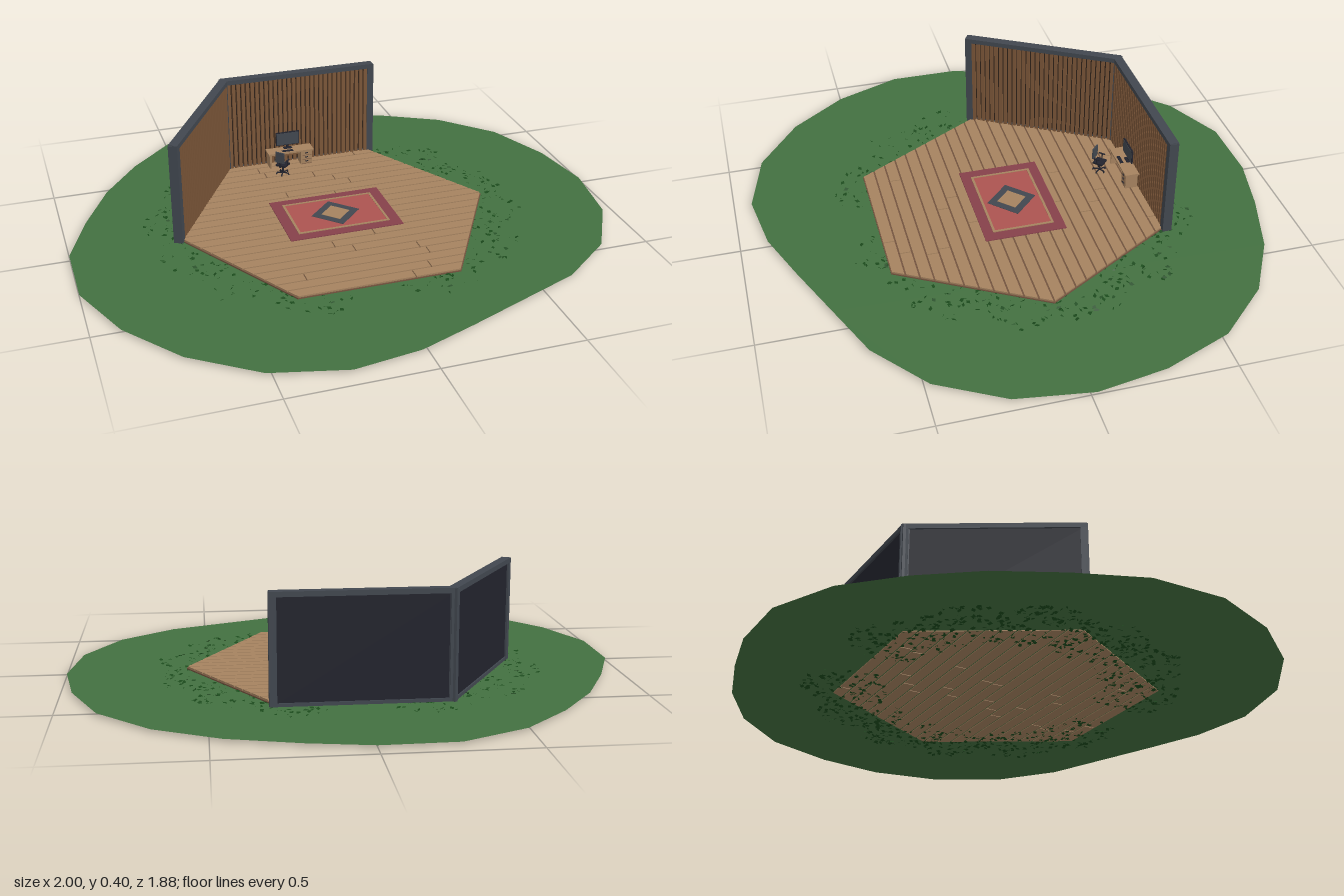
import * as THREE from 'three';
import { mergeGeometries } from 'three/addons/utils/BufferGeometryUtils.js';

const mat = (name, color, side = THREE.FrontSide) => {
  const m = new THREE.MeshStandardMaterial({ color, side });
  m.name = name;
  return m;
};

// Flat slab from [x, z] outline points, between heights y0 and y1
function slab(points, y0, y1, holePoints) {
  const v = (p) => new THREE.Vector2(p[0], -p[1]);
  const shape = new THREE.Shape(points.map(v));
  if (holePoints) shape.holes.push(new THREE.Path(holePoints.map(v)));
  const g = new THREE.ExtrudeGeometry(shape, { depth: y1 - y0, bevelEnabled: false });
  return g.rotateX(-Math.PI / 2).translate(0, y0, 0);
}
const box = (w, h, d, x, y, z) => new THREE.BoxGeometry(w, h, d).translate(x, y, z);
const rect = (x, z, w, d) => [[x - w, z - d], [x - w, z + d], [x + w, z + d], [x + w, z - d]];
const diamond = (x, z, r) => [[x - r, z], [x, z + r], [x + r, z], [x, z - r]];

export function createModel() {
  const root = new THREE.Group();
  const grass = mat('grass green', 0x437040, THREE.DoubleSide);
  const leaf = mat('leaf green', 0x1b4a1c, THREE.DoubleSide);
  const plank = mat('plank wood', 0xa5825f);
  const deck = mat('dark deck wood', 0x74543f);
  const maroon = mat('maroon', 0x85404a);
  const red = mat('rug red', 0xac5450);
  const slate = mat('slate', 0x41474f);
  const navy = mat('dark navy', 0x22232d);
  const slatWood = mat('slat wood', 0x7b5638);
  const backing = mat('slat backing', 0x2e2118);

  const add = (parent, name, geometry, material) => {
    const m = new THREE.Mesh(Array.isArray(geometry) ? mergeGeometries(geometry) : geometry, material);
    m.name = name;
    parent.add(m);
    return m;
  };
  const group = (name, x, y, z, turn = 0) => {
    const g = new THREE.Group();
    g.name = name;
    g.position.set(x, y, z);
    g.rotation.y = turn;
    root.add(g);
    return g;
  };
  let seed = 11;
  const rnd = () => (seed = (seed * 16807) % 2147483647) / 2147483647;

  // Lawn: a flat irregular sheet
  const outline = [
    [-1, -.02], [-.91, -.25], [-.8, -.47], [-.66, -.66], [-.49, -.83], [-.26, -.94], [0, -.945], [.22, -.9],
    [.46, -.83], [.68, -.71], [.86, -.52], [.96, -.27], [1, -.02], [.96, .25], [.83, .48], [.63, .64],
    [.41, .73], [.19, .82], [-.02, .9], [-.26, .935], [-.52, .87], [-.74, .71], [-.9, .5], [-1, .25]];
  const lawnShape = new THREE.Shape(outline.map(([x, z]) => new THREE.Vector2(x, -z)));
  add(root, 'lawn', new THREE.ShapeGeometry(lawnShape).rotateX(-Math.PI / 2).translate(0, .011, 0), grass);

  // Ground plants: twelve clumps of small tilted leaves around the deck
  const leaves = [];
  for (const angle of [12, 40, 67, 113, 140, 168, 192, 220, 247, 293, 320, 348]) {
    const a = THREE.MathUtils.degToRad(angle);
    const cx = -.015 + .55 * Math.cos(a), cz = -.015 + .52 * Math.sin(a);
    for (let i = 0; i < 130; i++) {
      const r = .16 * Math.sqrt(rnd()), t = rnd() * Math.PI * 2;
      const g = new THREE.CircleGeometry(.011, 4).scale(1, .7, 1);
      g.rotateX(-Math.PI / 2 + (rnd() - .5)).rotateZ((rnd() - .5) * .7).rotateY(rnd() * 6.28);
      leaves.push(g.translate(cx + r * Math.cos(t), .006 + .008 * rnd() ** 1.5, cz + r * Math.sin(t)));
    }
  }
  add(root, 'groundPlants', leaves, leaf);

  // Hexagonal deck: dark base with planks cut to the outline
  const CX = -.017, CZ = -.007, R = .588, A = R * Math.sqrt(3) / 2;
  const hex = [];
  for (let i = 0; i < 6; i++) {
    const a = -i * Math.PI / 3;
    hex.push([CX + R * Math.cos(a), CZ + R * Math.sin(a)]);
  }
  add(root, 'deckBase', slab(hex, .012, .0165), deck);
  const planks = [], rows = 22, pitch = 2 * A / rows, gap = .006;
  for (let i = 0; i < rows; i++) {
    const z0 = -A + i * pitch + gap / 2, z1 = z0 + pitch - gap;
    const w0 = R - Math.abs(z0) / Math.sqrt(3) - .004, w1 = R - Math.abs(z1) / Math.sqrt(3) - .004;
    const joint = (rnd() - .5) * .5;
    const piece = (l0, l1, r0, r1) => planks.push(slab(
      [[CX + l0, CZ + z0], [CX + l1, CZ + z1], [CX + r1, CZ + z1], [CX + r0, CZ + z0]], .008, .022));
    piece(-w0, -w1, joint - .002, joint - .002);
    piece(joint + .002, joint + .002, w0, w1);
  }
  add(root, 'deckPlanks', planks, plank);

  // Rug with border line and diamond
  const rx = -.016, rz = -.012;
  add(root, 'rugBorder', slab(rect(rx, rz, .215, .152), .022, .025), maroon);
  add(root, 'rugField', slab(rect(rx, rz, .172, .112), .025, .0262), red);
  add(root, 'rugLine', slab(rect(rx, rz, .175, .115), .025, .0275, rect(rx, rz, .166, .106)), plank);
  add(root, 'rugDiamond', slab(diamond(rx, rz, .093), .0262, .0275), slate);
  add(root, 'rugDiamondCentre', slab(diamond(rx, rz, .055), .0275, .0287), plank);

  // Two slatted walls; local +z faces the deck
  const wall = (name, x, z, turn) => {
    const g = group(name, x, 0, z, turn), len = .6;
    add(g, 'outerPanel', box(len, .37, .008, 0, .2, -.006), navy);
    add(g, 'slatBacking', box(len, .37, .006, 0, .2, .001), backing);
    const slats = [], n = 31, step = (len - .02) / n;
    for (let i = 0; i < n; i++) slats.push(box(.0125, .365, .011, (i + .5) * step - len / 2 + .01, .2, .0095));
    add(g, 'slats', slats, slatWood);
    add(g, 'wallFrame', [
      box(len + .02, .018, .034, 0, .391, 0), box(len, .012, .022, 0, .02, -.004),
      box(.026, .384, .034, -len / 2, .206, 0), box(.026, .384, .034, len / 2, .206, 0)], slate);
  };
  wall('backWall', -.013, -.516, 0);
  wall('sideWall', -.459, -.258, Math.PI / 3);

  // Desk with drawer pedestal
  const desk = group('desk', -.062, .022, -.474);
  add(desk, 'deskTop', box(.186, .007, .056, 0, .061, 0), plank);
  add(desk, 'deskPedestal', box(.046, .058, .048, .064, .029, 0), plank);
  add(desk, 'deskLeg', box(.007, .058, .048, -.084, .029, 0), plank);
  add(desk, 'deskBackPanel', box(.13, .03, .004, -.02, .043, -.02), slatWood);
  const seams = [], knobs = [];
  for (let i = 0; i < 3; i++) {
    seams.push(box(.04, .0015, .001, .064, .004 + i * .018, .0245));
    knobs.push(box(.012, .003, .003, .064, .014 + i * .018, .0255));
  }
  add(desk, 'drawerSeams', seams, deck);
  add(desk, 'drawerHandles', knobs, navy);

  // Monitor and keyboard on the desk
  add(desk, 'monitorBody', box(.096, .056, .006, -.004, .107, -.014), navy);
  add(desk, 'monitorScreen', box(.09, .05, .002, -.004, .107, -.0105), slate);
  add(desk, 'monitorStand', [box(.008, .025, .005, -.004, .075, -.018), box(.034, .002, .018, -.004, .0655, -.014)], navy);
  add(desk, 'keyboard', box(.045, .002, .013, -.012, .0655, .014), navy);

  // Swivel chair; local +z is its back
  const chair = group('officeChair', -.113, .022, -.392, -Math.PI / 4);
  add(chair, 'chairSeat', box(.042, .007, .04, 0, .042, 0), navy);
  add(chair, 'chairBack', box(.038, .045, .005, 0, .08, .022), slate);
  add(chair, 'chairBackPost', box(.006, .03, .004, 0, .052, .022), navy);
  add(chair, 'chairColumn', new THREE.CylinderGeometry(.003, .004, .034, 8).translate(0, .023, 0), navy);
  const legs = [], arms = [];
  for (let i = 0; i < 5; i++) {
    const a = i * Math.PI * 2 / 5;
    legs.push(box(.026, .004, .004, .013, .008, 0).rotateY(a));
    legs.push(new THREE.SphereGeometry(.0035, 8, 6).translate(.025, .0035, 0).rotateY(a));
  }
  for (const s of [-1, 1]) {
    arms.push(box(.004, .022, .004, s * .023, .053, .002), box(.005, .003, .026, s * .023, .065, .002));
  }
  add(chair, 'chairFeet', legs, navy);
  add(chair, 'chairArms', arms, navy);
  return root;
}
